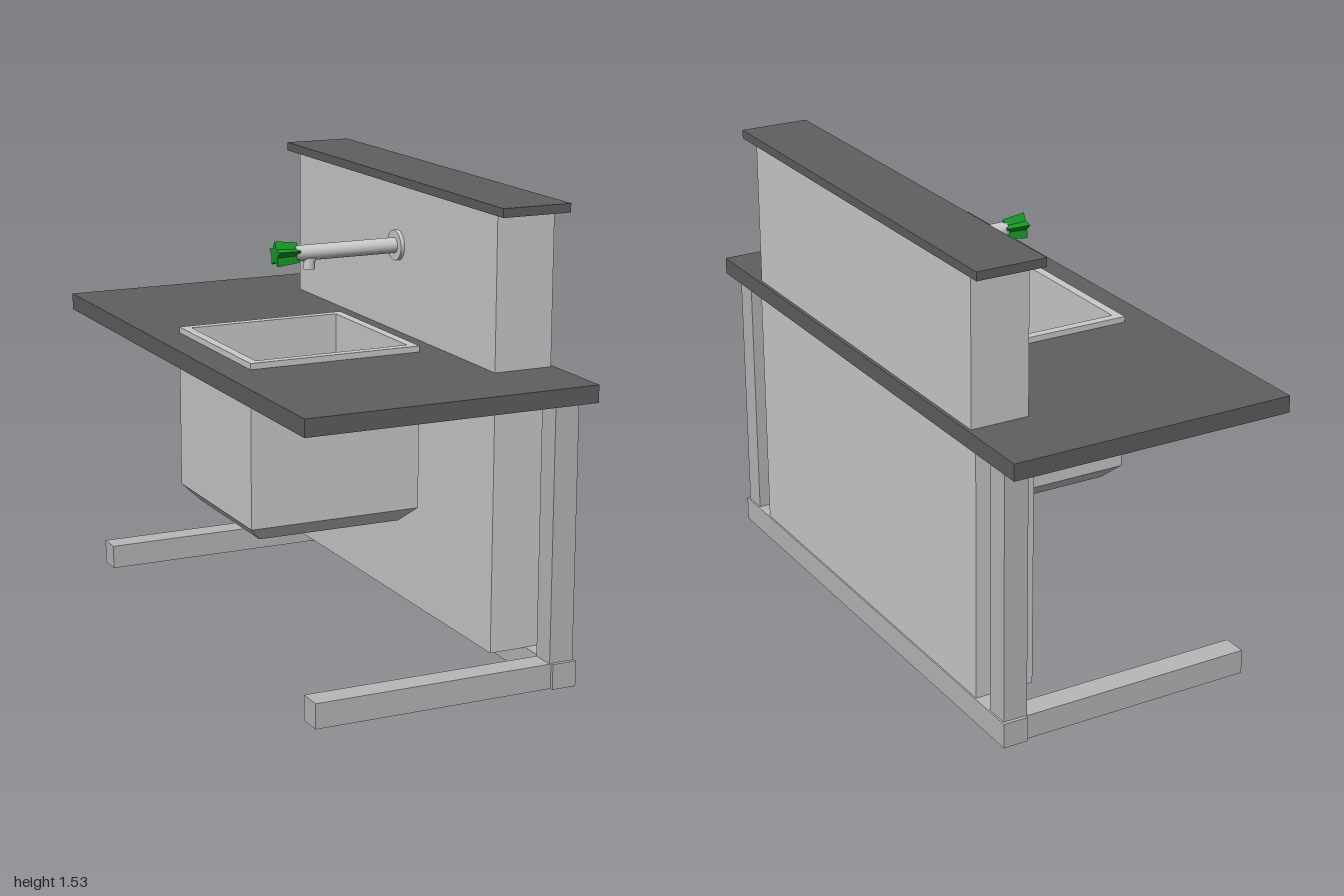
import * as THREE from 'three';

const mat = (color, extra = {}) => new THREE.MeshStandardMaterial({ color, ...extra });

export function createModel() {
  const model = new THREE.Group();
  const grey = mat(0xcccccc);
  const frameGrey = mat(0xb9b9b9);
  const dark = mat(0x5f5f5f);
  const green = mat(0x139a25);

  const add = (name, geometry, material, x = 0, y = 0, z = 0) => {
    const mesh = new THREE.Mesh(geometry, material);
    mesh.name = name;
    mesh.position.set(x, y, z);
    model.add(mesh);
    return mesh;
  };
  // box given by its limits on each axis
  const box = (name, material, [x0, x1], [y0, y1], [z0, z1]) =>
    add(name, new THREE.BoxGeometry(x1 - x0, y1 - y0, z1 - z0), material,
      (x0 + x1) / 2, (y0 + y1) / 2, (z0 + z1) / 2);
  const rect = (path, x0, x1, y0, y1) =>
    path.moveTo(x0, y0).lineTo(x1, y0).lineTo(x1, y1).lineTo(x0, y1).closePath();

  // worktop with a cut-out for the basin
  const basinX = -0.097, basinZ = 0.07, basinHalf = 0.298;
  const top = new THREE.Shape();
  rect(top, -0.5, 0.492, -1, 1);
  const hole = new THREE.Path();
  const cut = basinHalf - 0.005;
  rect(hole, basinX - cut, basinX + cut, -basinZ - cut, -basinZ + cut);
  top.holes.push(hole);
  const topGeometry = new THREE.ExtrudeGeometry(top, { depth: 0.057, bevelEnabled: false });
  topGeometry.rotateX(-Math.PI / 2);
  add('worktop', topGeometry, dark, 0, 0.943, 0);

  // splash wall, its shelf and the panel below
  box('splashWall', grey, [0.279, 0.48], [1, 1.5], [-0.728, 0.728]);
  box('shelf', dark, [0.261, 0.499], [1.5, 1.529], [-0.795, 0.795]);
  box('lowerPanel', grey, [0.27, 0.475], [0.083, 0.943], [-0.747, 0.747]);

  // frame: back rail, and a post and foot at each end
  box('backRail', frameGrey, [0.396, 0.48], [0, 0.085], [-0.927, 0.927]);
  for (const s of [1, -1]) {
    const side = s > 0 ? 'left' : 'right';
    const span = s > 0 ? [0.832, 0.915] : [-0.915, -0.832];
    box(side + 'Post', frameGrey, [0.391, 0.474], [0.04, 0.943], span);
    box(side + 'Foot', frameGrey, [-0.425, 0.396], [0, 0.083], span);
  }

  // square basin: profile of half-widths and heights, out and back in
  const profile = [
    [0, 0.425], [0.25, 0.425], [basinHalf, 0.475], [basinHalf, 1.02],
    [0.267, 1.02], [0.267, 0.49], [0.22, 0.455], [0, 0.455],
  ].map(([half, y]) => new THREE.Vector2(half * Math.SQRT2, y));
  const basin = new THREE.LatheGeometry(profile, 4, Math.PI / 4).toNonIndexed();
  basin.computeVertexNormals();
  add('basin', basin, mat(0xcccccc, { flatShading: true }), basinX, 0, basinZ);

  // tap: wall flange, horizontal pipe and spout
  const tapY = 1.293, tapZ = 0.052;
  const alongX = (r, length) => new THREE.CylinderGeometry(r, r, length, 32).rotateZ(Math.PI / 2);
  add('tapFlange', alongX(0.051, 0.015), grey, 0.273, tapY, tapZ);
  add('tapPipe', alongX(0.026, 0.38), grey, 0.09, tapY, tapZ);
  add('tapSpout', new THREE.CylinderGeometry(0.02, 0.02, 0.045, 24), grey, -0.047, 1.261, tapZ);
  add('spoutCollar', new THREE.CylinderGeometry(0.024, 0.024, 0.012, 24), grey, -0.047, 1.271, tapZ);

  // star-shaped tap handle, flaring towards its free end
  const star = new THREE.Shape();
  for (let i = 0; i < 10; i++) {
    const a = Math.PI / 2 + (i * Math.PI) / 5, r = i % 2 ? 0.024 : 0.045;
    star[i ? 'lineTo' : 'moveTo'](r * Math.cos(a), r * Math.sin(a));
  }
  star.closePath();
  const handle = new THREE.ExtrudeGeometry(star, { depth: 0.08, bevelEnabled: false });
  const p = handle.attributes.position;
  for (let i = 0; i < p.count; i++) {
    const k = 0.78 + 0.22 * (p.getZ(i) / 0.08);
    p.setXY(i, p.getX(i) * k, p.getY(i) * k);
  }
  handle.computeVertexNormals();
  handle.rotateY(-Math.PI / 2);
  add('tapHandle', handle, green, -0.09, tapY + 0.001, tapZ);

  return model;
}
